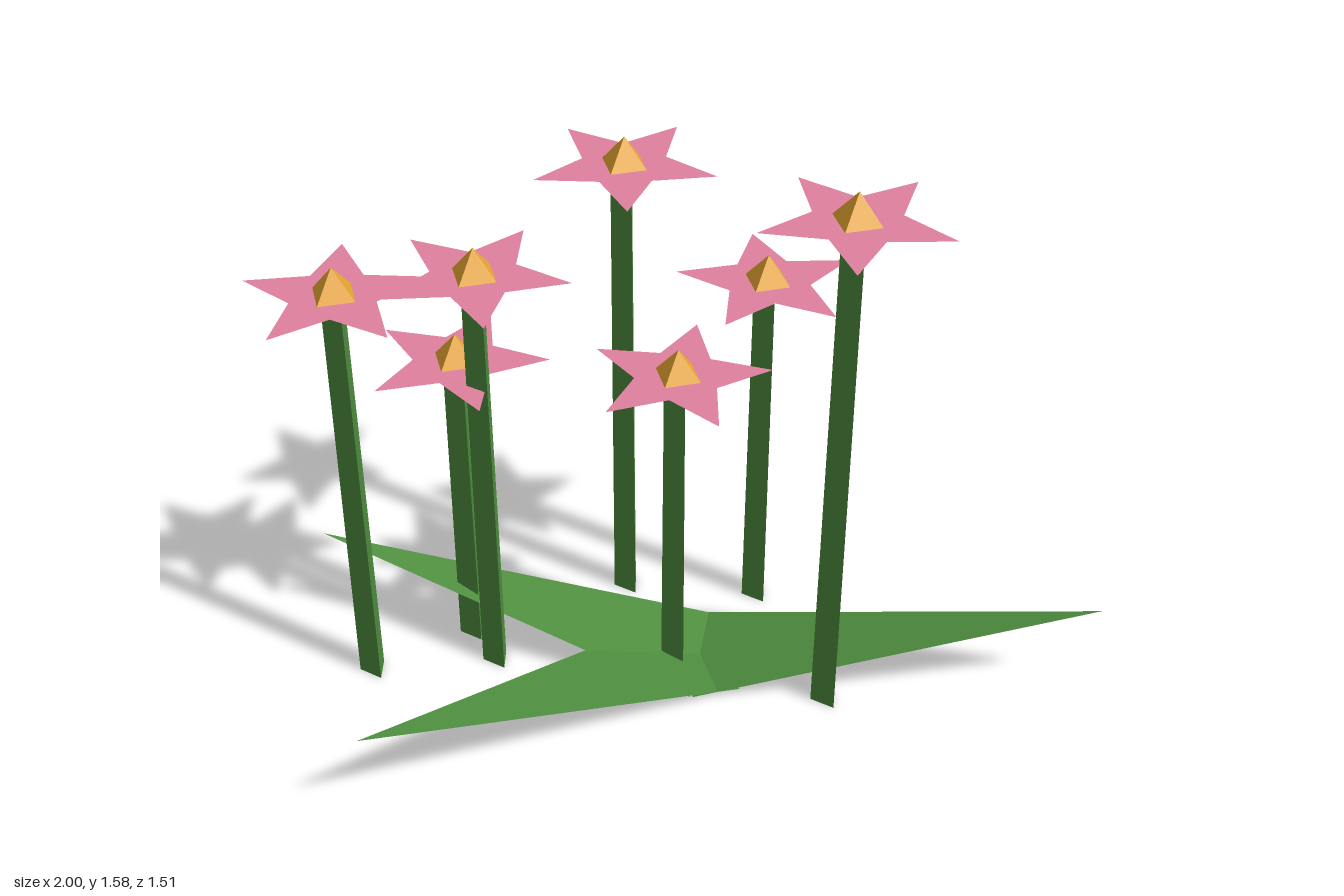
import * as THREE from 'three';

const mat = (color, side = THREE.FrontSide) =>
  new THREE.MeshStandardMaterial({ color, side, flatShading: true });

const stemMat = mat(0x4f8f3f);
const leafMat = mat(0x4f8f3f, THREE.DoubleSide);
const petalMat = mat(0xe080a0, THREE.DoubleSide);
const centreMat = mat(0xeaa830);

function part(name, geometry, material, y = 0) {
  const mesh = new THREE.Mesh(geometry, material);
  mesh.name = name;
  mesh.position.y = y;
  return mesh;
}

// Flat five-pointed star lying level; angle of the first point runs from +x to +z
function starGeometry(degrees) {
  const shape = new THREE.Shape();
  for (let i = 0; i < 10; i++) {
    const r = i % 2 ? 0.112 : 0.243;
    const a = -THREE.MathUtils.degToRad(degrees + i * 36);
    shape[i ? 'lineTo' : 'moveTo'](r * Math.cos(a), r * Math.sin(a));
  }
  shape.closePath();
  return new THREE.ShapeGeometry(shape).rotateX(-Math.PI / 2);
}

// Three-sided stem, star of petals and a pyramid centre
function createFlower(x, z, tip, degrees) {
  const flower = new THREE.Group();
  flower.name = 'flower';
  flower.position.set(x, 0, z);
  const h = tip - 0.08;
  flower.add(
    part('stem', new THREE.CylinderGeometry(0.036, 0.041, h, 3, 1, false, Math.PI), stemMat, h / 2),
    part('petals', starGeometry(degrees), petalMat, tip - 0.077),
    part('flowerCentre', new THREE.ConeGeometry(0.077, 0.09, 4), centreMat, tip - 0.045)
  );
  return flower;
}

// Flat triangular blade rising from a wide base on the ground to a raised tip
function createLeaf(tipX, tipZ) {
  const base = new THREE.Vector3(0.005, 0, -0.24);
  const tip = new THREE.Vector3(tipX, 0.285, tipZ);
  const across = new THREE.Vector3(tipZ - base.z, 0, base.x - tipX).setLength(0.18);
  const geometry = new THREE.BufferGeometry().setFromPoints([
    base.clone().sub(across), tip, base.clone().add(across),
  ].reverse());
  geometry.computeVertexNormals();
  if (geometry.attributes.normal.getY(0) < 0) {
    geometry.setIndex([0, 2, 1]);
    geometry.computeVertexNormals();
  }
  return part('leaf', geometry, leafMat);
}

export function createModel() {
  const model = new THREE.Group();
  model.name = 'flowerPatch';

  // x, z, height of the tip, turn of the petals
  const flowers = [
    [-0.743, 0.28, 1.305, 21],
    [-0.595, 0.005, 1.008, 41],
    [-0.472, 0.07, 1.335, 50],
    [-0.325, -0.395, 1.465, 57],
    [-0.045, -0.19, 1.036, 35.5],
    [0.015, -0.55, 1.145, 16],
    [0.392, -0.255, 1.58, 64],
  ];
  for (const f of flowers) model.add(createFlower(...f));

  // leaf tips
  for (const [x, z] of [[1, -0.66], [-1, 0.14], [-0.415, 0.755]]) model.add(createLeaf(x, z));

  return model;
}
